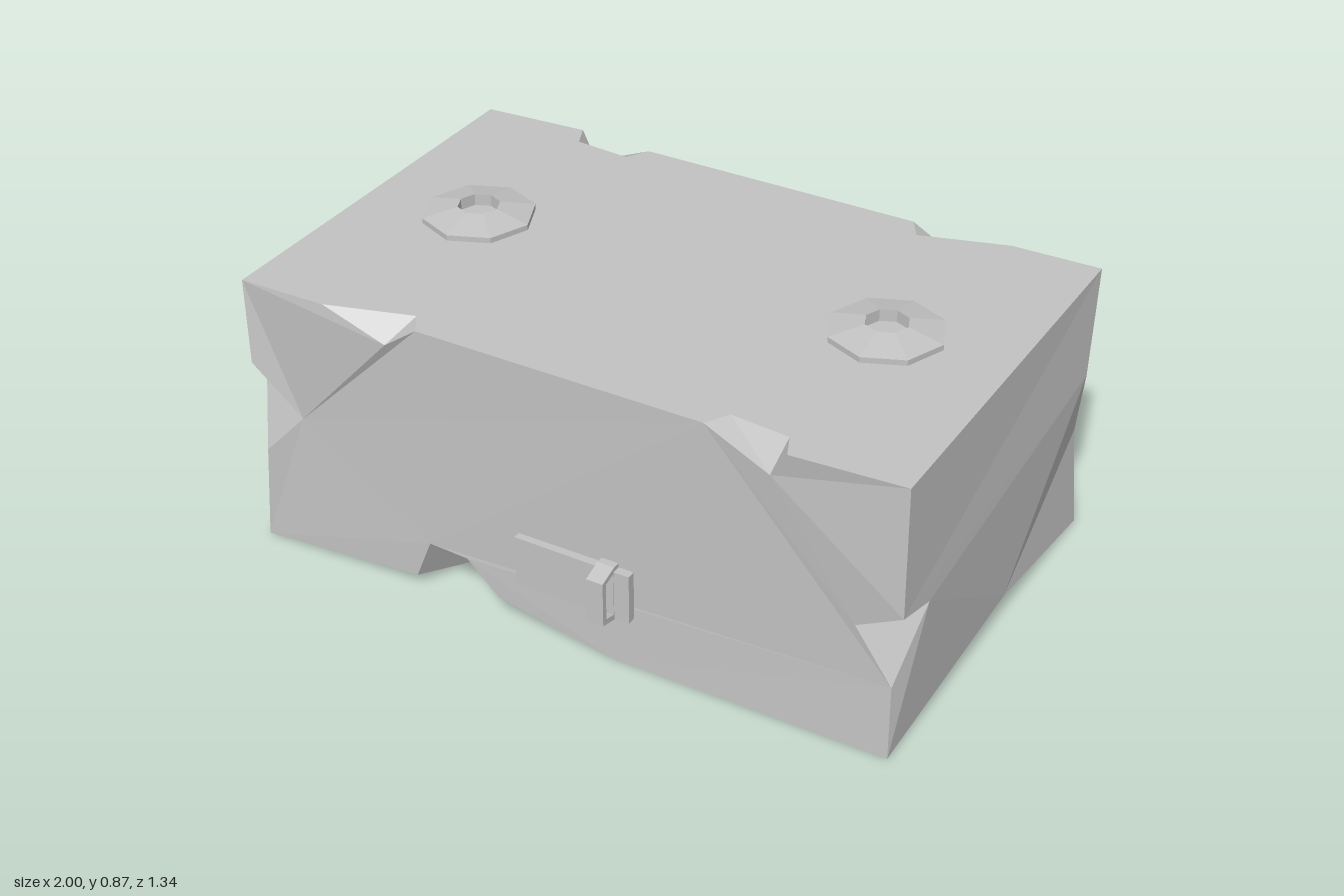
import * as THREE from 'three';

// Corner points for half of the block; the other half is the same turned 180 degrees about y
const P = {
  // top rim, left to right, with two chips
  t0: [-0.98, 0.832, 0.6], t1: [-0.72, 0.832, 0.595], t2: [-0.47, 0.832, 0.52], t3: [-0.43, 0.832, 0.585],
  t4: [0.42, 0.832, 0.585], t5: [0.46, 0.832, 0.52], t6: [0.63, 0.832, 0.535], t7: [0.66, 0.832, 0.605], t8: [0.975, 0.832, 0.585],
  // chip tips on the front
  f1: [-0.52, 0.77, 0.6], f2: [0.61, 0.75, 0.595], f3: [0.85, 0.38, 0.585], f4: [-0.83, 0.43, 0.585],
  // left and right edges
  l1: [-0.96, 0.59, 0.62], l2: [-1, 0.55, 0.51], l3: [-0.95, 0.3, 0.605],
  r1: [0.985, 0.46, 0.6], r2: [0.99, 0.425, 0.46], r3: [0.955, 0.22, 0.58],
  // bottom rim with its undercuts
  b0: [-0.98, 0, 0.6], b1: [-0.47, 0.04, 0.595], b2: [-0.42, 0.165, 0.595], b3: [-0.3, 0.16, 0.595],
  b4: [-0.2, 0.065, 0.595], b5: [0.15, 0, 0.595], r4: [0.96, 0, 0.59],
  c: [-0.4, 0, 0.42], s: [0.985, 0.085, -0.07], d: [0.86, 0, -0.07],
};
const turn = ([x, y, z]) => [-x, y, -z];
const point = (n) => (n.endsWith("'") ? turn(P[n.slice(0, -1)]) : P[n]);

// Flat views used to triangulate each polygon
const front = ([x, y]) => new THREE.Vector2(x, y);
const side = ([, y, z]) => new THREE.Vector2(-z, y);
const above = ([x, , z]) => new THREE.Vector2(x, -z);
const below = ([x, , z]) => new THREE.Vector2(x, z);

function faceted(geometry) {
  const g = geometry.index ? geometry.toNonIndexed() : geometry;
  g.computeVertexNormals();
  return g;
}

function blockGeometry() {
  const pos = [];
  const polygon = (names, view) => {
    const pts = names.split(' ').map(point);
    const tris = pts.length === 3 ? [[0, 1, 2]] : THREE.ShapeUtils.triangulateShape(pts.map(view), []);
    for (const tri of tris) {
      for (const i of tri) pos.push(...pts[i]);
      for (const i of tri) pos.push(...turn(pts[i]));
    }
  };
  // large faces
  polygon("t8' t0 t1 t2 t3 t4 t5 t6 t7 t8", above);
  polygon("d r4 b5 c b0 d'", below);
  polygon('f4 l3 b0 b1 b2 b3 b4 b5 r4 r3 f3 f2 t4 t3 f1', front);
  polygon('t0 l1 f4 f1 t1', front);
  polygon('f2 f3 r1 t8 t7', front);
  polygon("r4 s b0' l3' l2' l1' t0' t8 r1 r2 r3", side);
  // chips and undercuts
  const chips = ['t1 f1 t2', 'f1 t3 t2', 't4 f2 t5', 'f2 t6 t5', 'f2 t7 t6', 'f4 l1 l2', 'f4 l2 l3',
    'f3 r2 r1', 'f3 r3 r2', 'b0 c b1', 'b1 c b2', 'b2 c b3', 'b3 c b4', 'b4 c b5', 'r4 d s', "d b0' s"];
  for (const chip of chips) polygon(chip);
  const g = new THREE.BufferGeometry();
  g.setAttribute('position', new THREE.Float32BufferAttribute(pos, 3));
  return faceted(g);
}

// Eight-sided ring with a sloping top and a sunken middle
function ringGeometry() {
  const profile = [[0.16, 0.825], [0.16, 0.848], [0.06, 0.87], [0.06, 0.836], [0, 0.836]];
  return faceted(new THREE.LatheGeometry(profile.map(([r, y]) => new THREE.Vector2(r, y)), 8));
}

// Bent strap with an opening behind it
function gripGeometry() {
  const shape = new THREE.Shape([[0.57, 0.145], [0.61, 0.15], [0.668, 0.165], [0.668, 0.3], [0.61, 0.318], [0.57, 0.318]]
    .map(([z, y]) => new THREE.Vector2(z, y)));
  shape.holes.push(new THREE.Path([[0.615, 0.168], [0.615, 0.3], [0.652, 0.29], [0.652, 0.178]]
    .map(([z, y]) => new THREE.Vector2(z, y))));
  const g = new THREE.ExtrudeGeometry(shape, { depth: 0.05, bevelEnabled: false });
  return g.rotateY(-Math.PI / 2).translate(0.175, 0, 0);
}

export function createModel() {
  const model = new THREE.Group();
  model.name = 'chippedStoneBlock';
  const stone = new THREE.MeshStandardMaterial({ color: 0xc2c2c2 });
  stone.name = 'grey stone';
  const add = (parent, name, geometry) => {
    const mesh = new THREE.Mesh(geometry, stone);
    mesh.name = name;
    parent.add(mesh);
    return mesh;
  };

  add(model, 'block', blockGeometry());

  // lifting rings on top
  const ring = ringGeometry();
  add(model, 'leftRing', ring).position.set(0.625, 0, -0.01);
  add(model, 'rightRing', ring).position.set(-0.63, 0, -0.01);

  // matching latches on front and back
  const plate = new THREE.BoxGeometry(0.35, 0.15, 0.05).translate(0.045, 0.23, 0.588);
  const grip = gripGeometry();
  for (const [name, angle] of [['frontLatch', 0], ['backLatch', Math.PI]]) {
    const latch = new THREE.Group();
    latch.name = name;
    latch.rotation.y = angle;
    add(latch, 'latchPlate', plate);
    add(latch, 'latchGrip', grip);
    model.add(latch);
  }
  return model;
}
